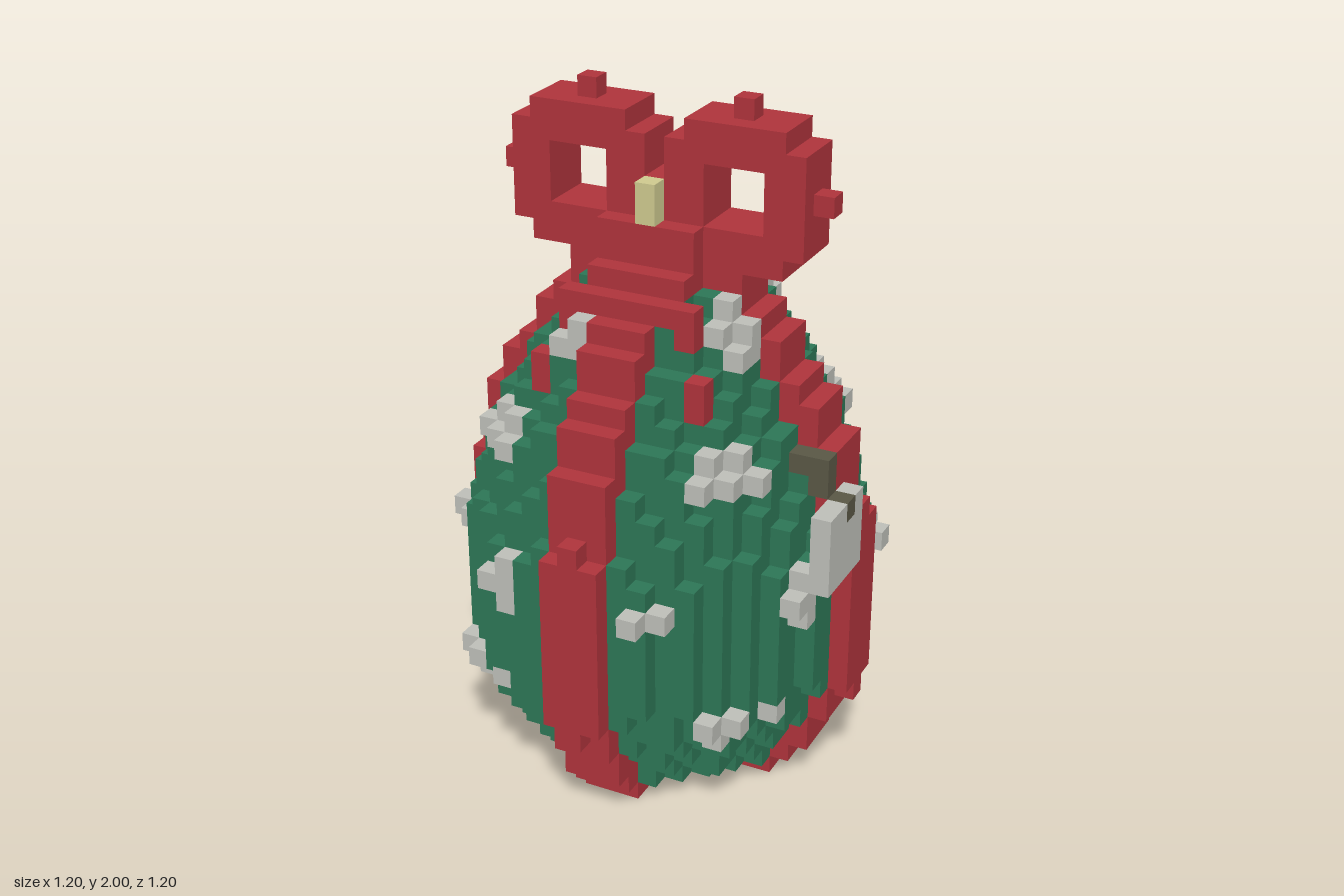
import * as THREE from 'three';
import { mergeGeometries } from 'three/addons/utils/BufferGeometryUtils.js';

const U = 2 / 35; // edge of one block

// egg radius in blocks, row by row from the bottom (row 0 is only ribbon)
const RADII = [5.5, 6.4, 7.1, 7.8, 8.5, 9.02, 9.3, 9.5, 9.6, 9.6, 9.6, 9.6, 9.6, 9.5, 9.3,
  9.04, 8.8, 8.5, 8.1, 7.7, 7.2, 6.6, 5.9, 5.2, 4.5, 3.8, 2.9, 1.5];

// ornaments on one quarter, as [x, row]; depth follows the egg surface
const ORNAMENTS = [
  [-5, 12], [-4, 12], [-4, 11], [-4, 13],
  [3, 12], [4, 12],
  [5, 18], [6, 18], [7, 18], [5, 19], [6, 19],
  [6, 6], [7, 6], [8, 6], [6, 5],
  [-2, 23], [-2, 24], [-2, 25], [-3, 23], [-3, 24],
];

function material(name, color) {
  const m = new THREE.MeshStandardMaterial({ color });
  m.name = name;
  return m;
}

export function createModel() {
  const red = material('ribbon red', 0xb0343c);
  const green = material('wrapping green', 0x2d7757);
  const white = material('ornament grey white', 0xbfc0ba);
  const cream = material('knot cream', 0xd0cb90);
  const brown = material('cord brown', 0x5a5846);

  const blocks = new Map();
  const key = (x, y, z) => `${x},${y},${z}`;
  const put = (part, x, y, z) => blocks.set(key(x, y, z), { part, x, y, z });
  const fill = (part, x0, x1, y0, y1, z0, z1) => {
    for (let x = x0; x <= x1; x++)
      for (let y = y0; y <= y1; y++)
        for (let z = z0; z <= z1; z++) put(part, x, y, z);
  };

  // egg body and the crossed ribbon one block proud of it
  RADII.forEach((r, y) => {
    for (let x = -10; x <= 10; x++) {
      for (let z = -10; z <= 10; z++) {
        const d = x * x + z * z;
        const onRibbon = Math.abs(x) <= 1 || Math.abs(z) <= 1;
        if (onRibbon && d <= (r + 1) ** 2) put('ribbon', x, y, z);
        else if (y > 0 && d <= r * r) put('egg', x, y, z);
      }
    }
  });

  // small ornaments repeated on the four quarters
  for (const [ox, y] of ORNAMENTS) {
    let x = ox;
    let z = Math.floor(Math.sqrt(RADII[y] ** 2 - x * x)) + 1;
    for (let q = 0; q < 4; q++) {
      put('ornaments', x, y, z);
      [x, z] = [z, -x];
    }
  }

  // bow base and its stepped front
  fill('bowBase', -4, 4, 26, 26, -1, 1);
  fill('bowBase', -6, 6, 27, 27, -1, 1);
  fill('bowBase', -7, 7, 28, 28, -1, 1);
  fill('bowBase', -2, 2, 26, 28, 2, 2);
  fill('bowBase', -2, 2, 26, 26, 3, 3);
  fill('bowBase', -3, 3, 25, 25, 4, 4);
  fill('bowBase', 0, 0, 29, 30, -1, 1);

  // mirrored bow loops and hanging tails
  for (const s of [-1, 1]) {
    const side = (part, a, b, ...rest) => fill(part, Math.min(s * a, s * b), Math.max(s * a, s * b), ...rest);
    side('bowLoops', 1, 2, 29, 31, -1, 1);
    side('bowLoops', 6, 7, 29, 31, -1, 1);
    side('bowLoops', 1, 7, 32, 32, -1, 1);
    side('bowLoops', 2, 6, 33, 33, -1, 1);
    side('bowLoops', 4, 4, 34, 34, 0, 0);
    side('bowLoops', 8, 8, 30, 30, 0, 0);
    side('bowTails', 3, 3, 24, 24, 4, 4);
    side('bowTails', 4, 4, 21, 22, 5, 5);
  }

  // knot, gift tag and its cord
  fill('knot', 0, 0, 29, 30, 2, 2);
  fill('tag', 10, 10, 13, 16, 1, 4);
  fill('cord', 8, 8, 18, 18, 2, 2);
  fill('cord', 9, 9, 17, 18, 2, 2);
  fill('cord', 10, 10, 16, 16, 2, 2);

  // outward square faces for the six directions
  const h = Math.PI / 2;
  const face = () => new THREE.PlaneGeometry(U, U).translate(0, 0, U / 2);
  const faces = [
    [0, 0, 1, face()],
    [0, 0, -1, face().rotateY(Math.PI)],
    [1, 0, 0, face().rotateY(h)],
    [-1, 0, 0, face().rotateY(-h)],
    [0, 1, 0, face().rotateX(-h)],
    [0, -1, 0, face().rotateX(h)],
  ];

  // keep only faces open to the air, gathered by part
  const shells = {};
  for (const { part, x, y, z } of blocks.values()) {
    for (const [dx, dy, dz, geometry] of faces) {
      if (blocks.has(key(x + dx, y + dy, z + dz))) continue;
      (shells[part] ??= []).push(geometry.clone().translate(x * U, (y + 0.5) * U, z * U));
    }
  }

  const materials = {
    egg: green, ribbon: red, bowBase: red, bowLoops: red, bowTails: red,
    ornaments: white, tag: white, knot: cream, cord: brown,
  };
  const group = new THREE.Group();
  group.name = 'giftEgg';
  for (const [part, list] of Object.entries(shells)) {
    const mesh = new THREE.Mesh(mergeGeometries(list), materials[part]);
    mesh.name = part;
    group.add(mesh);
  }
  return group;
}
